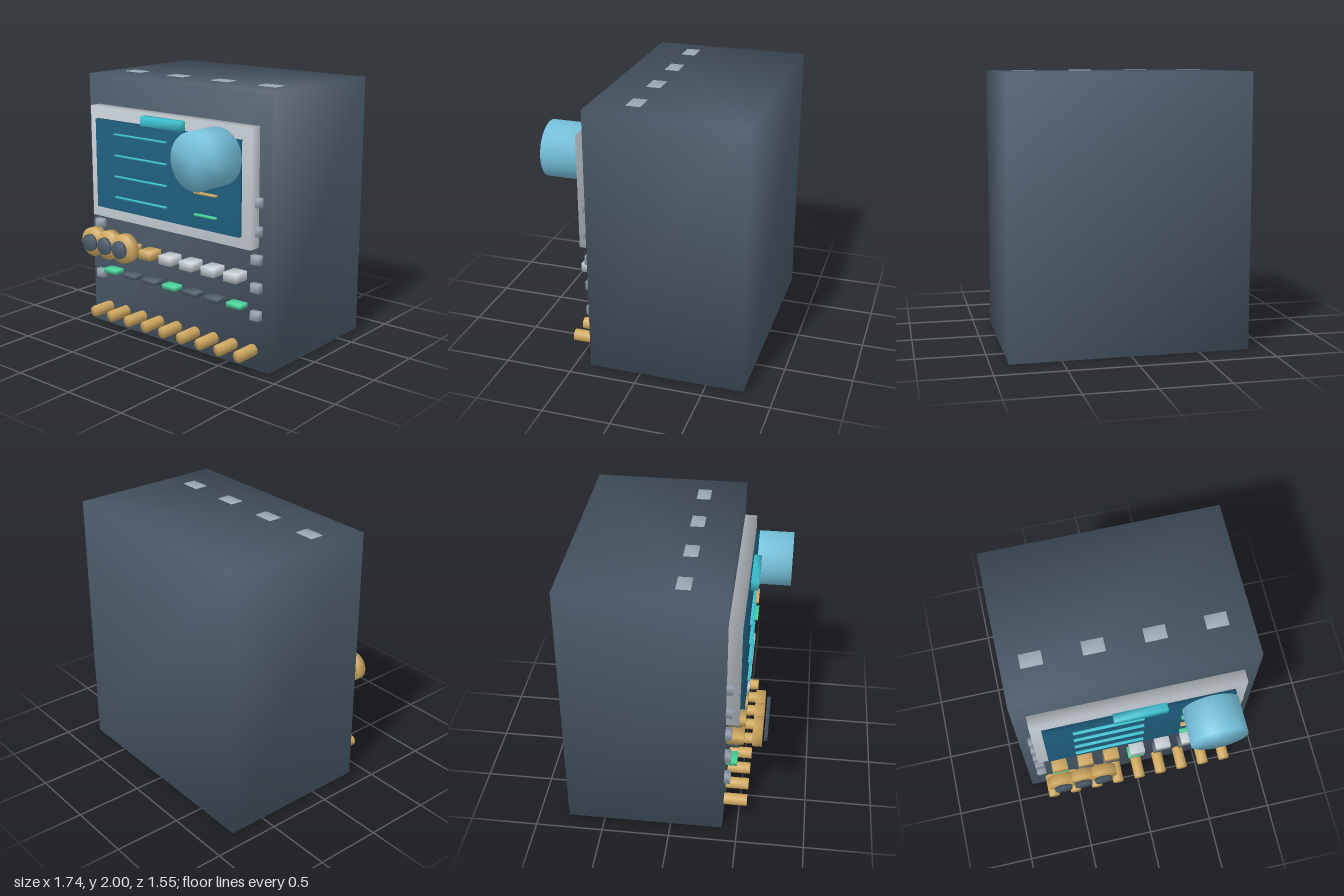
import * as THREE from 'three';
import { mergeVertices } from 'three/addons/utils/BufferGeometryUtils.js';

const mat = (name, color) => {
  const m = new THREE.MeshStandardMaterial({ color });
  m.name = name;
  return m;
};

// Share the corners so the shading runs softly across the edges
function soften(geometry) {
  geometry.deleteAttribute('uv');
  geometry.deleteAttribute('normal');
  const g = mergeVertices(geometry, 1e-4);
  g.computeVertexNormals();
  return g;
}

export function createModel() {
  const slate = mat('slate', 0x4d5c6b);
  const silver = mat('silver', 0xc6ced4);
  const steel = mat('steel grey', 0x9aa7b4);
  const screenBlue = mat('screen blue', 0x1f5f7f);
  const cyan = mat('cyan', 0x3cc3d3);
  const sky = mat('sky blue', 0x76c2dc);
  const gold = mat('gold', 0xd0a960);
  const green = mat('green', 0x45d49a);

  const model = new THREE.Group();
  model.name = 'controlConsole';

  const add = (name, geometry, material, x, y, z) => {
    const mesh = new THREE.Mesh(soften(geometry), material);
    mesh.name = name;
    mesh.position.set(x, y, z);
    model.add(mesh);
  };
  // Box given by its centre in x and y, and its back and front in z
  const box = (name, material, x, y, w, h, z0, z1) =>
    add(name, new THREE.BoxGeometry(w, h, z1 - z0), material, x, y, (z0 + z1) / 2);
  // Round part whose axis points to the front
  const disc = (name, material, x, y, r, z0, z1, sides) =>
    add(name, new THREE.CylinderGeometry(r, r, z1 - z0, sides).rotateX(Math.PI / 2),
      material, x, y, (z0 + z1) / 2);

  // Cabinet and the vents in its top
  box('cabinet', slate, 0, 0.998, 1.74, 1.996, -0.775, 0.387);
  for (let i = 0; i < 4; i++) box('topVent', steel, -0.655 + i * 0.427, 1.985, 0.155, 0.03, 0.028, 0.13);

  // Screen
  box('screenFrame', silver, 0, 1.343, 1.535, 0.855, 0.38, 0.48);
  box('screen', screenBlue, 0, 1.34, 1.375, 0.68, 0.47, 0.512);
  box('screenHeader', cyan, 0, 1.72, 0.38, 0.07, 0.495, 0.55);
  const statusColours = [green, green, gold, green];
  statusColours.forEach((colour, i) => {
    const y = 1.585 - i * 0.16;
    box('textLine', cyan, -0.225, y, 0.51, 0.012, 0.508, 0.532);
    box('statusLine', colour, 0.4, y, 0.195, 0.014, 0.508, 0.54);
  });
  disc('globeDisplay', sky, 0.508, 1.55, 0.205, 0.515, 0.776, 48);

  // Dials
  for (let i = 0; i < 3; i++) {
    const x = -0.62 + i * 0.155;
    disc('dialRing', gold, x, 0.755, 0.11, 0.577, 0.647, 32);
    disc('dialFace', slate, x, 0.755, 0.066, 0.66, 0.685, 32);
  }

  // Push buttons and indicator lamps
  for (let i = 0; i < 7; i++) {
    const x = -0.617 + i * 0.2045;
    box('pushButton', i < 3 ? gold : silver, x, 0.693, 0.115, 0.067, 0.38, 0.515);
    box('indicatorLamp', i % 3 === 0 ? green : slate, x, 0.474, 0.125, 0.034, 0.38, 0.473);
  }

  // Side fasteners
  for (const side of [-1, 1]) {
    for (let i = 0; i < 5; i++) {
      box('sideFastener', steel, side * 0.767, 0.421 + i * 0.2055, 0.073, 0.067, 0.38, 0.433);
    }
  }

  // Row of pegs along the bottom
  for (let i = 0; i < 9; i++) disc('peg', gold, -0.707 + i * 0.179, 0.147, 0.044, 0.38, 0.56, 18);

  return model;
}
